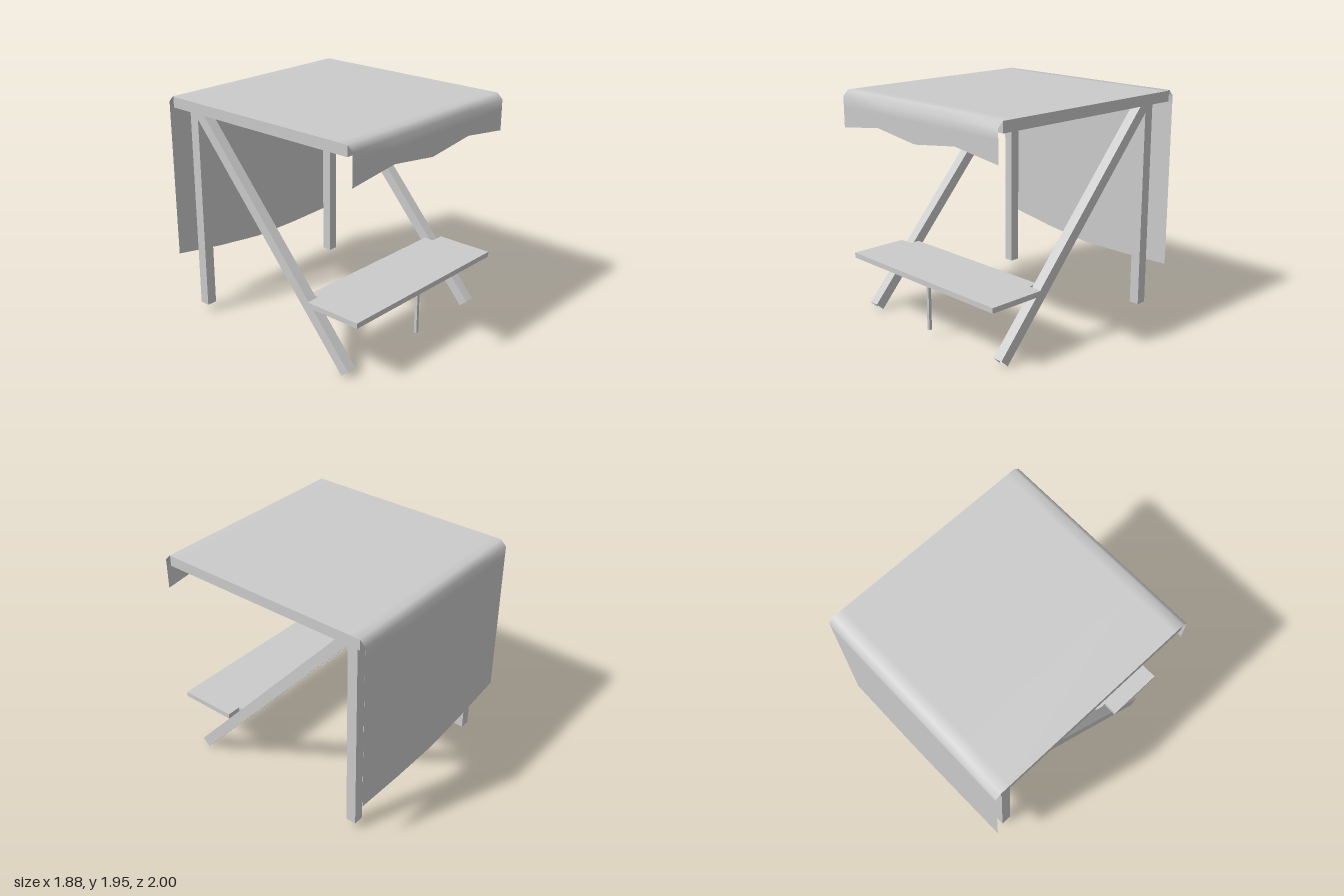
import * as THREE from 'three';

const mat = new THREE.MeshStandardMaterial({ color: 0xcccccc, side: THREE.DoubleSide });

function add(parent, name, geo, x = 0, y = 0, z = 0) {
  const m = new THREE.Mesh(geo, mat);
  m.name = name;
  m.position.set(x, y, z);
  parent.add(m);
  return m;
}

// Box without its bottom face
function openBox(w, h, d) {
  const g = new THREE.BoxGeometry(w, h, d);
  const idx = Array.from(g.index.array);
  idx.splice(18, 6);
  g.setIndex(idx);
  g.clearGroups();
  return g;
}

// Cloth: one profile from front hem to back hem per column
function clothGeometry() {
  const xs = [-0.94, -0.47, 0, 0.47, 0.94];
  const frontHem = [1.64, 1.70, 1.64, 1.70, 1.64];
  const backHem = [0.53, 0.455, 0.4, 0.4, 0.415];
  const pos = [], idx = [];
  xs.forEach((x, i) => {
    const profile = [
      [frontHem[i], 1], [1.82, 1], [1.905, 1], [1.955, 0.95], [1.955, 0.86],
      [1.955, -0.86], [1.955, -0.95], [1.905, -1], [1.82, -1], [backHem[i], -1],
    ];
    const n = profile.length;
    profile.forEach(([y, z], j) => {
      pos.push(x, y, z);
      if (i < xs.length - 1 && j < n - 1) {
        const a = i * n + j, b = a + n;
        idx.push(a, b, a + 1, b, b + 1, a + 1);
      }
    });
  });
  const g = new THREE.BufferGeometry();
  g.setAttribute('position', new THREE.Float32BufferAttribute(pos, 3));
  g.setIndex(idx);
  g.computeVertexNormals();
  return g;
}

// Rectangular roof frame, laid flat
function frameGeometry() {
  const rect = (T, w, d) => {
    const s = new T();
    s.moveTo(-w, -d);
    s.lineTo(w, -d);
    s.lineTo(w, d);
    s.lineTo(-w, d);
    s.closePath();
    return s;
  };
  const shape = rect(THREE.Shape, 0.937, 0.95);
  shape.holes.push(rect(THREE.Path, 0.847, 0.86));
  return new THREE.ExtrudeGeometry(shape, { depth: 0.09, bevelEnabled: false }).rotateX(-Math.PI / 2);
}

// Counter board, with a tongue between the braces and an open underside
function counter(parent) {
  const pts = [[-0.875, -1], [0.875, -1], [0.875, -0.49], [0.75, -0.49],
    [0.75, -0.4], [-0.75, -0.4], [-0.75, -0.49], [-0.875, -0.49]];
  const shape = new THREE.Shape(pts.map(([x, y]) => new THREE.Vector2(x, y)));
  const group = new THREE.Group();
  group.name = 'counter';
  add(group, 'counterTop', new THREE.ShapeGeometry(shape).rotateX(-Math.PI / 2), 0, 0.545, 0);
  // Rim walls follow the outline
  pts.forEach(([x0, y0], i) => {
    const [x1, y1] = pts[(i + 1) % pts.length];
    const wall = add(group, 'counterRim', new THREE.PlaneGeometry(Math.hypot(x1 - x0, y1 - y0), 0.045),
      (x0 + x1) / 2, 0.5225, -(y0 + y1) / 2);
    wall.rotation.y = Math.atan2(y1 - y0, x1 - x0);
  });
  parent.add(group);
}

export function createModel() {
  const model = new THREE.Group();
  model.name = 'marketStall';

  add(model, 'canopyCloth', clothGeometry());
  add(model, 'roofFrame', frameGeometry(), 0, 1.86, 0);

  // Sloping brace: bottom and top centres in the z-y plane
  const bottom = new THREE.Vector2(0.848, 0.032), top = new THREE.Vector2(-0.787, 1.862);
  const dir = top.clone().sub(bottom);
  for (const s of [1, -1]) {
    const side = s > 0 ? 'left' : 'right';
    add(model, side + 'Post', openBox(0.09, 1.79, 0.09), s * 0.797, 0.965, -0.813);
    const brace = add(model, side + 'Brace', openBox(0.09, dir.length(), 0.09),
      s * 0.797, (bottom.y + top.y) / 2, (bottom.x + top.x) / 2);
    brace.rotation.x = Math.atan2(dir.x, dir.y);
  }

  counter(model);
  add(model, 'counterProp', openBox(0.026, 0.47, 0.026), 0, 0.305, 0.897);
  return model;
}
